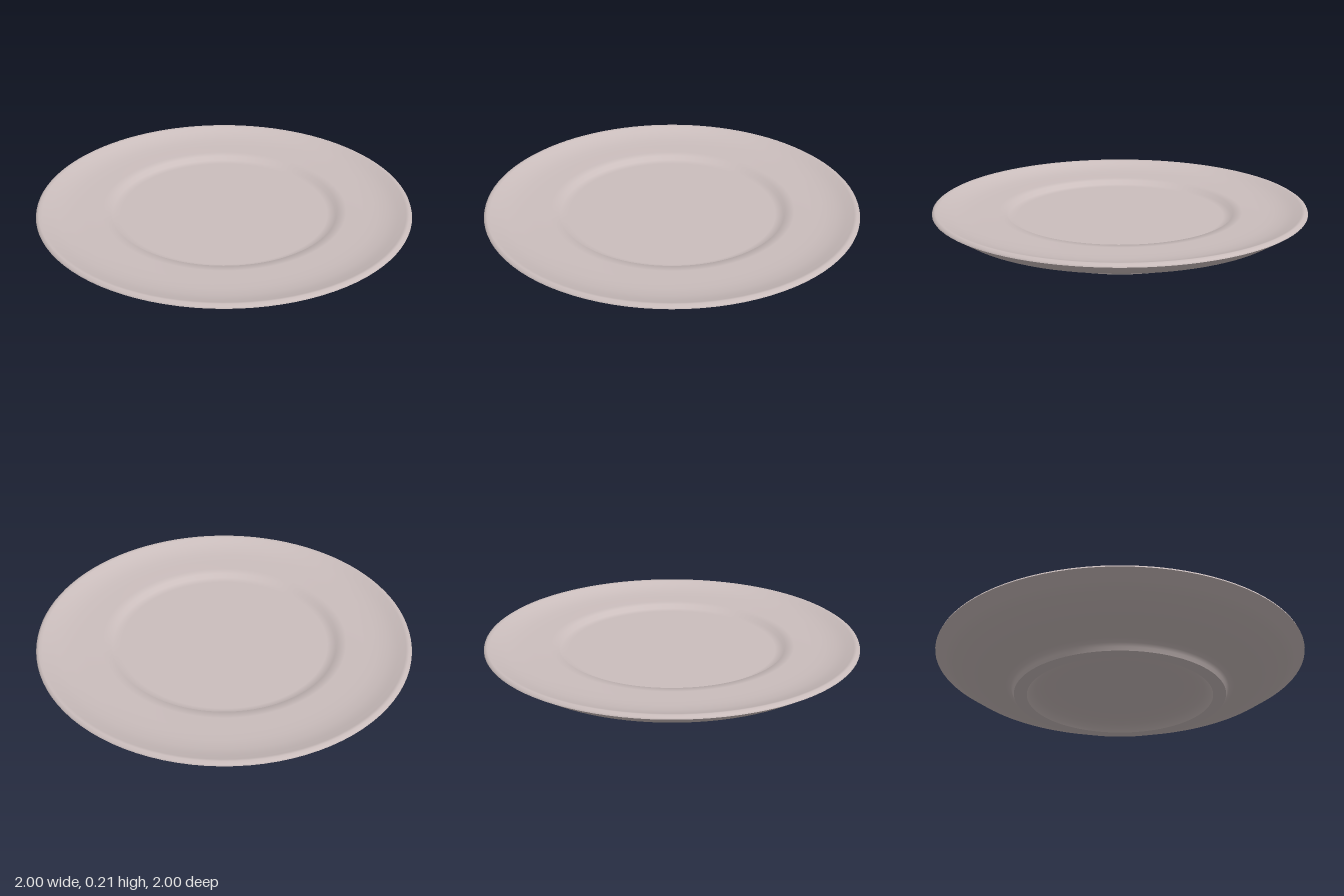
import * as THREE from 'three';

const SEGMENTS = 96;

export function createModel() {
  const plate = new THREE.Group();
  plate.name = 'plate';

  const ceramic = new THREE.MeshStandardMaterial({ color: 0xcbbebd });
  ceramic.name = 'pale ceramic';

  // Each profile runs from the bottom centre, out around the rim, to the top centre
  const turn = (name, profile) => {
    const points = profile.map(([r, y]) => new THREE.Vector2(r, y));
    const mesh = new THREE.Mesh(new THREE.LatheGeometry(points, SEGMENTS), ceramic);
    mesh.name = name;
    plate.add(mesh);
  };

  // Domed hollow inside the foot
  turn('baseRecess', [[0, 0.064], [0.3, 0.062], [0.4, 0.054], [0.46, 0.037], [0.49, 0.016], [0.503, 0]]);

  // Flat standing ring
  turn('footRing', [[0.503, 0], [0.572, 0]]);

  // Foot wall blending into the sloping underside
  turn('underside', [
    [0.572, 0], [0.58, 0.018], [0.59, 0.036], [0.62, 0.047], [0.7, 0.061],
    [0.8, 0.095], [0.9, 0.13], [0.95, 0.163], [1, 0.196],
  ]);

  // Rounded rim, border, small step and flat well floor
  turn('rimAndWell', [
    [1, 0.196], [0.997, 0.204], [0.984, 0.212], [0.968, 0.208], [0.93, 0.194],
    [0.88, 0.181], [0.82, 0.174], [0.75, 0.171], [0.66, 0.169], [0.612, 0.166],
    [0.604, 0.142], [0.56, 0.14], [0, 0.14],
  ]);

  return plate;
}
